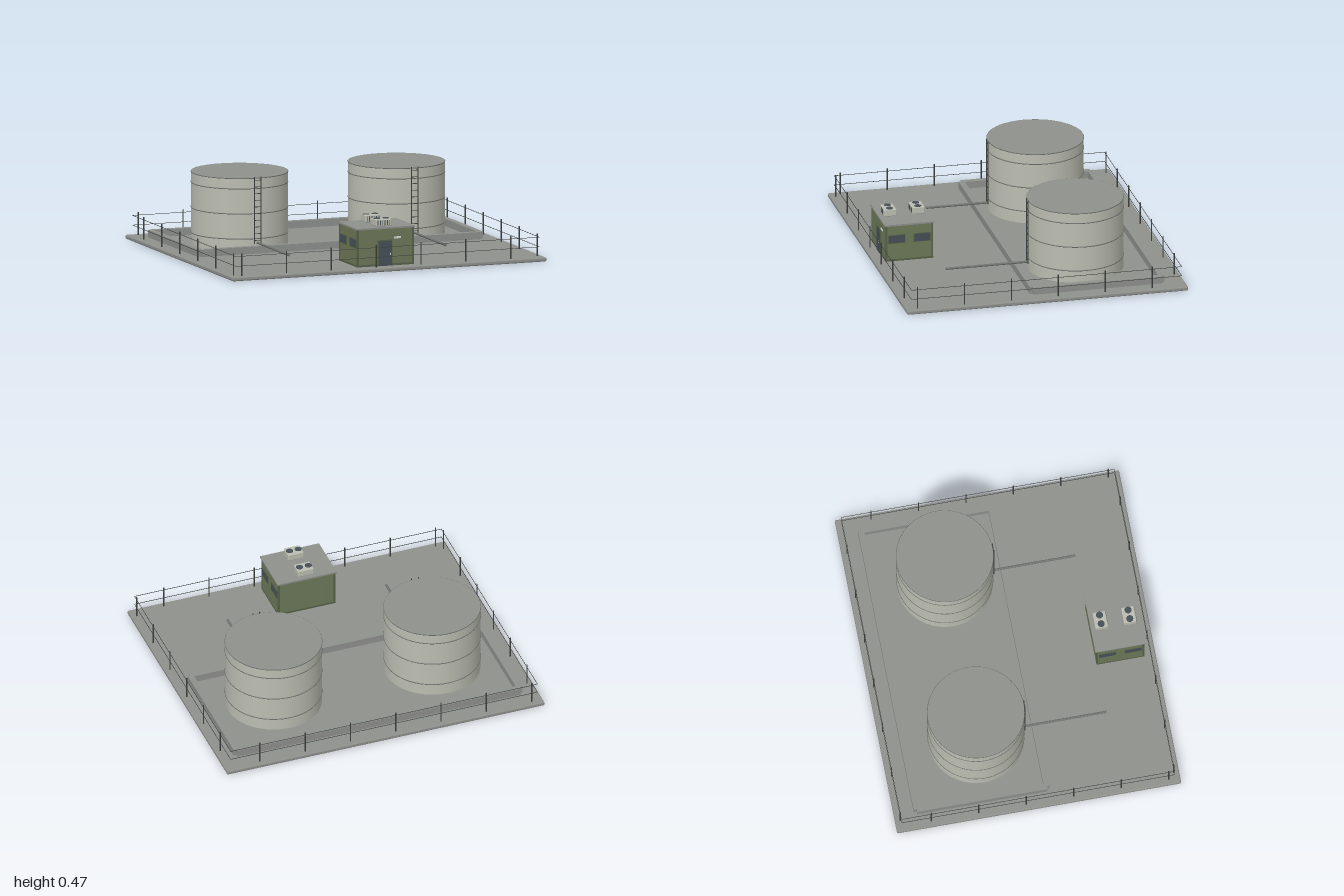
import * as THREE from 'three';
import { RoundedBoxGeometry } from 'three/addons/geometries/RoundedBoxGeometry.js';

const mat = (name, color) => {
  const m = new THREE.MeshStandardMaterial({ color });
  m.name = name;
  return m;
};

export function createModel() {
  const concrete = mat('concrete grey', 0x8e908c);
  const tankPaint = mat('tank pale grey', 0xbbbdb1);
  const steel = mat('steel grey', 0x70736f);
  const dark = mat('dark iron', 0x3c3f3d);
  const green = mat('hut green', 0x6c7858);
  const trim = mat('dark green trim', 0x566146);
  const glass = mat('blue grey glass', 0x464f57);
  const white = mat('sign white', 0xd4d6d0);

  const model = new THREE.Group();
  model.name = 'tankYard';

  const add = (parent, name, geo, material, x, y, z) => {
    const mesh = new THREE.Mesh(geo, material);
    mesh.name = name;
    mesh.position.set(x, y, z);
    parent.add(mesh);
    return mesh;
  };
  const box = (parent, name, material, w, h, d, x, y, z) =>
    add(parent, name, new THREE.BoxGeometry(w, h, d), material, x, y, z);
  const group = (name, x = 0, y = 0, z = 0) => {
    const g = new THREE.Group();
    g.name = name;
    g.position.set(x, y, z);
    model.add(g);
    return g;
  };

  // Ground slab with softened edges
  const ground = 0.025;
  add(model, 'groundSlab', new RoundedBoxGeometry(2, ground, 1.71, 2, 0.008), concrete, 0, ground / 2, 0);

  // Low containment wall, lapping half way at the corners
  const bund = group('containmentWall');
  const bundH = 0.043, bundY = ground + bundH / 2;
  for (const z of [-0.717, 0.067]) box(bund, 'longWall', concrete, 1.785, bundH, 0.036, 0, bundY, z);
  for (const x of [-0.8925, 0.8925]) box(bund, 'shortWall', concrete, 0.036, bundH, 0.784, x, bundY, -0.325);

  // Storage tanks with hoops, ladder and outlet pipe
  const R = 0.286, tankTop = 0.465;
  for (const x of [-0.5, 0.5]) {
    const tank = group('tank', x, 0, -0.287);
    const h = tankTop - ground;
    add(tank, 'tankShell', new THREE.CylinderGeometry(R, R, h, 64, 1, true), tankPaint, 0, ground + h / 2, 0);
    const roof = add(tank, 'tankRoof', new THREE.CircleGeometry(R, 64), concrete, 0, tankTop, 0);
    roof.rotation.x = -Math.PI / 2;
    for (const y of [0.1, 0.25, 0.4, tankTop - 0.003]) {
      const hoop = add(tank, 'tankHoop', new THREE.TorusGeometry(R, 0.0032, 6, 64), steel, 0, y, 0);
      hoop.rotation.x = Math.PI / 2;
    }
    const ladderZ = R + 0.006;
    for (const sx of [-0.021, 0.021]) {
      box(tank, 'ladderRail', dark, 0.005, 0.4, 0.005, sx, 0.27, ladderZ);
    }
    for (let i = 0; i < 10; i++) {
      box(tank, 'ladderRung', dark, 0.042, 0.0035, 0.0035, 0, 0.09 + i * 0.04, ladderZ);
    }
    const pipe = add(tank, 'outletPipe', new THREE.CylinderGeometry(0.007, 0.007, 0.505, 12), steel, 0, 0.075, R + 0.2475);
    pipe.rotation.x = Math.PI / 2;
  }

  // Control hut
  const hut = group('controlHut', 0, 0, 0.643);
  const W = 0.356, D = 0.284, top = 0.247, H = top - ground;
  box(hut, 'hutWalls', green, W, H, D, 0, ground + H / 2, 0);
  box(hut, 'hutPlinth', trim, W + 0.005, 0.012, D + 0.005, 0, ground + 0.006, 0);
  box(hut, 'hutRoof', concrete, 0.372, 0.01, 0.304, 0, top + 0.005, 0);
  for (const sx of [-1, 1]) {
    for (const sz of [-1, 1]) {
      box(hut, 'cornerTrim', trim, 0.01, H, 0.01, sx * (W / 2 - 0.003), ground + H / 2, sz * (D / 2 - 0.003));
      box(hut, 'wallRib', green, 0.004, H, 0.004, sx * 0.125, ground + H / 2, sz * D / 2);
      // Side windows in their frames
      box(hut, 'windowFrame', trim, 0.006, 0.055, 0.106, sx * W / 2, 0.163, sz * 0.077);
      box(hut, 'windowPane', glass, 0.009, 0.046, 0.096, sx * W / 2, 0.163, sz * 0.077);
    }
  }
  // Front door and sign
  box(hut, 'doorFrame', trim, 0.094, 0.155, 0.006, -0.002, ground + 0.0775, D / 2 + 0.001);
  box(hut, 'door', glass, 0.082, 0.148, 0.008, -0.002, ground + 0.074, D / 2 + 0.002);
  box(hut, 'doorHandle', white, 0.005, 0.014, 0.005, 0.028, 0.095, D / 2 + 0.007);
  box(hut, 'signPlate', white, 0.042, 0.012, 0.005, 0.076, 0.191, D / 2 + 0.001);

  // Rooftop cooling units with twin fans and front slats
  for (const z of [-0.088, 0.084]) {
    const roofY = top + 0.01;
    add(hut, 'coolingUnit', new RoundedBoxGeometry(0.1, 0.044, 0.077, 2, 0.006), tankPaint, -0.002, roofY + 0.022, z);
    for (const x of [-0.03, 0.025]) {
      add(hut, 'fan', new THREE.CylinderGeometry(0.021, 0.021, 0.003, 24), glass, x, roofY + 0.0445, z);
    }
    for (let i = 0; i < 6; i++) {
      box(hut, 'slat', glass, 0.005, 0.03, 0.003, -0.039 + i * 0.0148, roofY + 0.022, z + 0.0385);
    }
  }

  // Perimeter fence: posts and two wires on every side
  const fence = group('fence');
  const fx = 0.967, fz = 0.822, pitch = 0.2855;
  const postGeo = new THREE.CylinderGeometry(0.004, 0.004, 0.135, 8);
  const post = (x, z) => add(fence, 'fencePost', postGeo, dark, x, ground + 0.0675, z);
  for (const s of [-1, 1]) {
    for (let i = 0; i < 7; i++) post(-0.93 + i * pitch, s * fz);
    for (let i = 0; i < 6; i++) post(s * fx, 0.785 - i * pitch);
    for (const y of [0.085, 0.143]) {
      box(fence, 'fenceWire', dark, fx * 2, 0.0025, 0.0025, 0, y, s * fz);
      box(fence, 'fenceWire', dark, 0.0025, 0.0025, fz * 2, s * fx, y, 0);
    }
  }
  return model;
}
